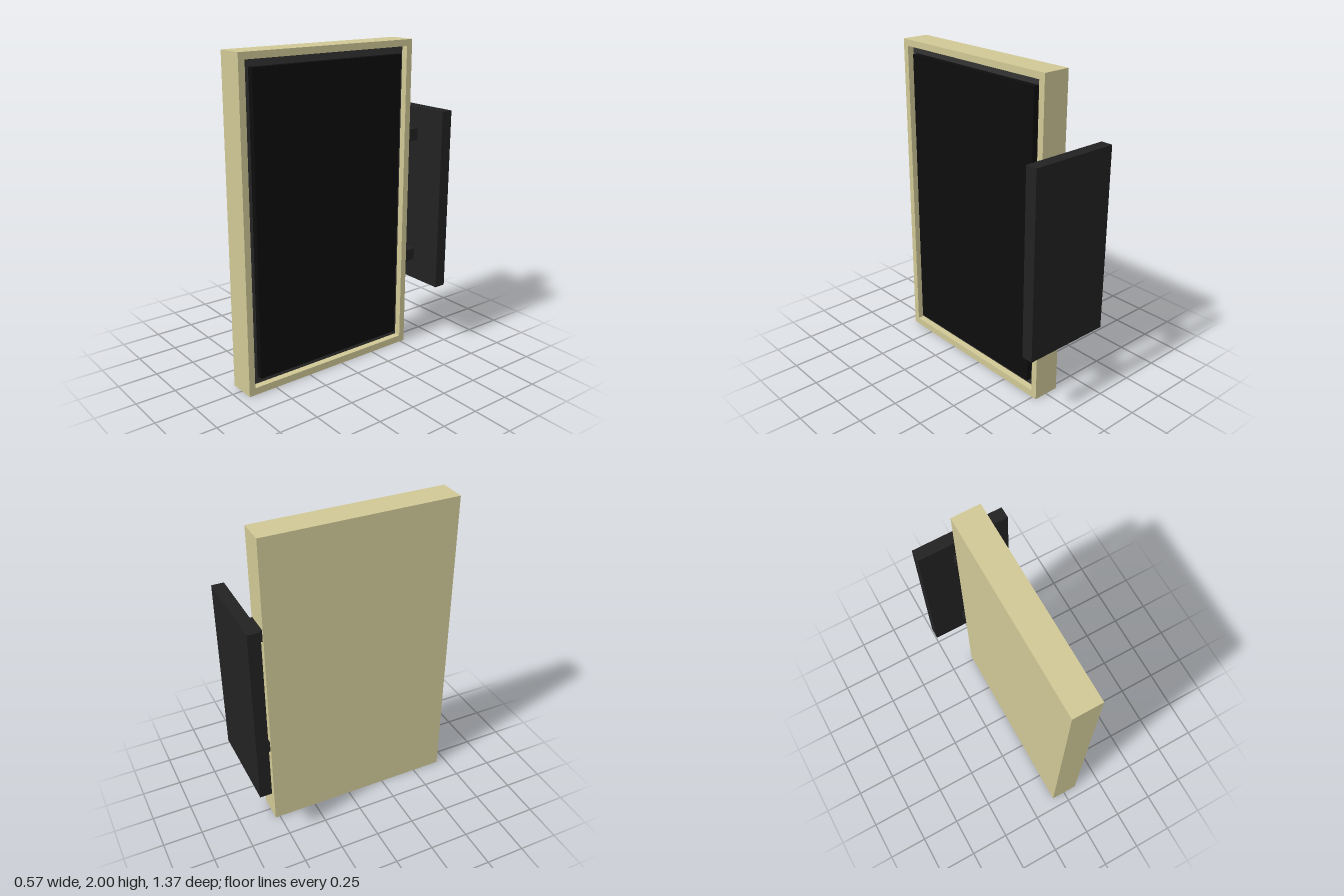
import * as THREE from 'three';

const material = (color) => new THREE.MeshStandardMaterial({ color });
const tan = material(0xd0c896);
const charcoal = material(0x222222);
const grey = material(0x333333);
const black = material(0x0d0d0d);

// Box given by its limits along each axis
function box(name, mat, [x0, x1], [y0, y1], [z0, z1]) {
  const mesh = new THREE.Mesh(new THREE.BoxGeometry(x1 - x0, y1 - y0, z1 - z0), mat);
  mesh.position.set((x0 + x1) / 2, (y0 + y1) / 2, (z0 + z1) / 2);
  mesh.name = name;
  return mesh;
}

// Closed rectangle in the (-z, y) plane
function rectangle(Type, [y0, y1], [z0, z1]) {
  const path = new Type();
  path.moveTo(-z1, y0);
  path.lineTo(-z0, y0);
  path.lineTo(-z0, y1);
  path.lineTo(-z1, y1);
  path.closePath();
  return path;
}

export function createModel() {
  const model = new THREE.Group();
  model.name = 'displayCabinet';
  const half = 0.087, floor = 0.045;

  // Casing: solid back with a raised rim around the recess
  model.add(box('casingBack', tan, [-half, floor - 0.002], [0, 2], [-0.53, 0.687]));
  const rimShape = rectangle(THREE.Shape, [0, 2], [-0.53, 0.687]);
  rimShape.holes.push(rectangle(THREE.Path, [0.045, 1.96], [-0.49, 0.647]));
  const rimGeometry = new THREE.ExtrudeGeometry(rimShape, { depth: half - floor + 0.002, bevelEnabled: false });
  rimGeometry.rotateY(Math.PI / 2);
  const rim = new THREE.Mesh(rimGeometry, tan);
  rim.position.x = floor - 0.002;
  rim.name = 'casingRim';
  model.add(rim);

  // Dark recess floor and the raised screen on it
  model.add(box('recessFloor', grey, [floor - 0.01, floor], [0.045, 1.96], [-0.49, 0.647]));
  model.add(box('screen', black, [floor, 0.083], [0.09, 1.915], [-0.447, 0.602]));

  // Mounting plate on two brackets
  model.add(box('mountingPlate', charcoal, [-0.287, 0.287], [0.43, 1.577], [-0.687, -0.612]));
  for (const y of [0.6, 1.405]) {
    model.add(box('mountingBracket', charcoal, [-0.075, 0.075], [y - 0.038, y + 0.038], [-0.612, -0.53]));
  }
  return model;
}
